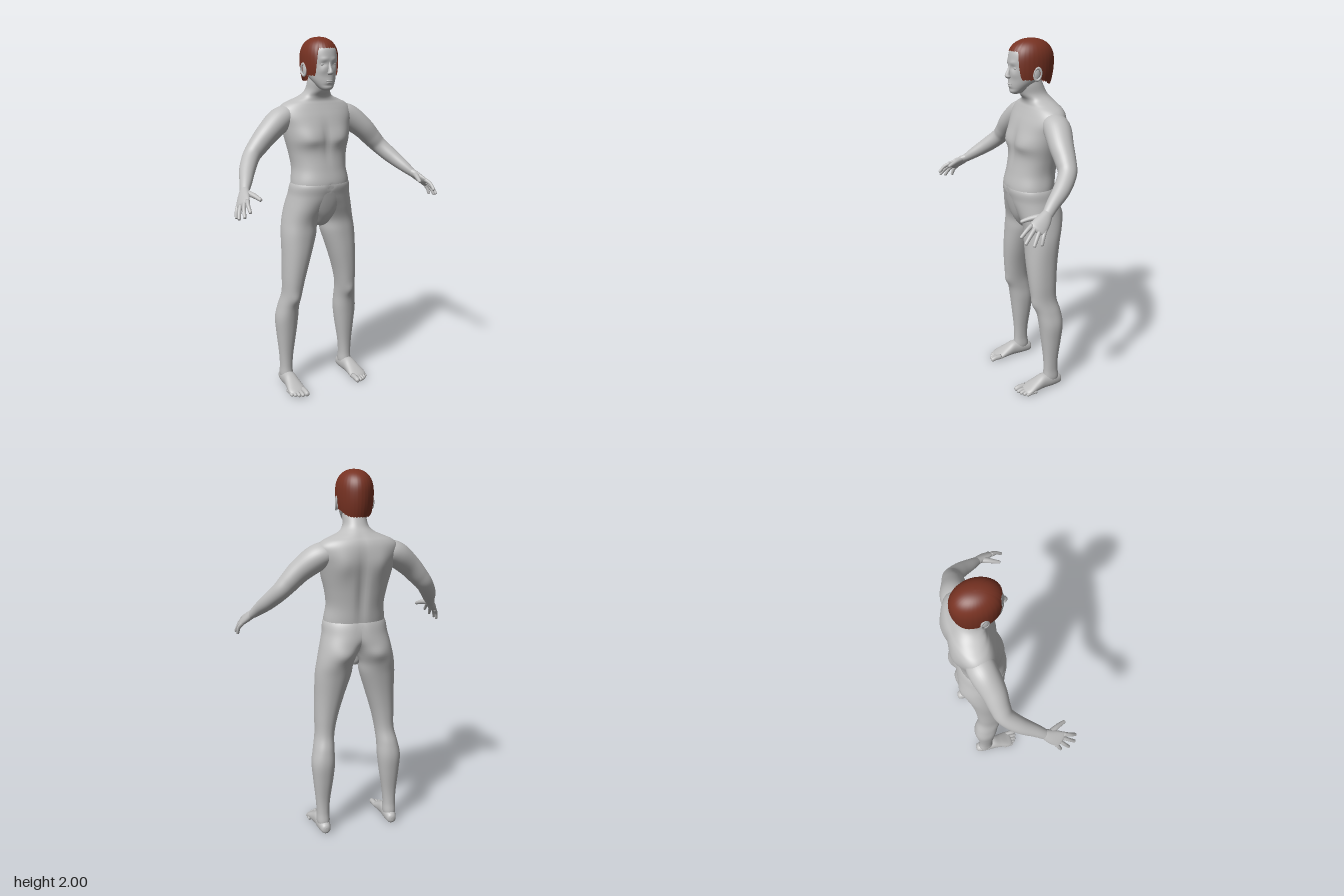
import * as THREE from 'three';

const skin = new THREE.MeshStandardMaterial({ color: 0xbebebe });
skin.name = 'grey skin';
const hairMat = new THREE.MeshStandardMaterial({ color: 0x773222, side: THREE.DoubleSide });
hairMat.name = 'brown hair';

const V = (x, y, z) => new THREE.Vector3(x, y, z);
const UP = V(0, 1, 0), SIDE = V(1, 0, 0), FRONT = V(0, 0, 1);
const gauss = (...d) => Math.exp(-d.reduce((s, k) => s + k * k, 0));

// Smooth interpolation through rows of numbers, t from 0 to 1
function sample(rows, t) {
  const f = t * (rows.length - 1), i = Math.min(Math.floor(f), rows.length - 2), u = f - i;
  const at = k => rows[Math.max(0, Math.min(rows.length - 1, k))];
  const [p, q, r, s] = [at(i - 1), at(i), at(i + 1), at(i + 2)];
  return q.map((_, k) => q[k] + 0.5 * u * (r[k] - p[k]
    + u * (2 * p[k] - 5 * q[k] + 4 * r[k] - s[k] + u * (3 * (q[k] - r[k]) + s[k] - p[k]))));
}

// Skin over rows [x, y, z, halfWidth, halfDepth], listed along the axis;
// without an axis the sections follow the path
function loft(rows, { axis = null, side = SIDE, n = 32, steps = 6, power = 2, sculpt = null } = {}) {
  const m = (rows.length - 1) * steps, pos = [], idx = [];
  const round = c => Math.sign(c) * Math.abs(c) ** (2 / power);
  const centre = t => V(...sample(rows, Math.max(0, Math.min(1, t))));
  for (let i = 0; i <= m; i++) {
    const [x, y, z, a, b] = sample(rows, i / m);
    const t = axis || centre(i / m + 0.02).sub(centre(i / m - 0.02)).normalize();
    const e1 = side.clone().addScaledVector(t, -side.dot(t)).normalize();
    const e2 = t.clone().cross(e1);
    for (let j = 0; j < n; j++) {
      const h = j / n * 2 * Math.PI;
      const v = V(x, y, z).addScaledVector(e1, Math.max(a, 0.001) * round(Math.cos(h)))
        .addScaledVector(e2, Math.max(b, 0.001) * round(Math.sin(h)));
      if (sculpt) sculpt(v);
      pos.push(v.x, v.y, v.z);
      if (i < m) {
        const p = i * n + j, q = i * n + (j + 1) % n;
        idx.push(p, q, q + n, p, q + n, p + n);
      }
    }
  }
  // end caps
  [0, m].forEach(i => {
    const c = pos.length / 3;
    const [x, y, z] = sample(rows, i / m);
    const v = V(x, y, z);
    if (sculpt) sculpt(v);
    pos.push(v.x, v.y, v.z);
    for (let j = 0; j < n; j++) {
      const p = i * n + j, q = i * n + (j + 1) % n;
      if (i) idx.push(c, p, q); else idx.push(c, q, p);
    }
  });
  return indexed(pos, idx);
}

function indexed(pos, idx) {
  const g = new THREE.BufferGeometry();
  g.setAttribute('position', new THREE.Float32BufferAttribute(pos, 3));
  g.setIndex(idx);
  g.computeVertexNormals();
  return g;
}

// Rounded finger or toe along a few points, with a taper
function digit(points, r0, r1) {
  const rows = points.map((p, i) => {
    const r = r0 + (r1 - r0) * i / (points.length - 1);
    return [...p, r, r];
  });
  const tip = V(...points.at(-1)), d = tip.clone().sub(V(...points.at(-2))).normalize();
  [[0.65, 0.76], [1, 0.05]].forEach(([k, s]) => {
    const e = tip.clone().addScaledVector(d, r1 * k);
    rows.push([e.x, e.y, e.z, r1 * s, r1 * s]);
  });
  return loft(rows, { side: V(0.8, 0.6, 0.1), n: 12, steps: 4 });
}

function ball(x, y, z, sx, sy, sz) {
  return new THREE.SphereGeometry(1, 20, 14).scale(sx, sy, sz).translate(x, y, z);
}

function mirrored(g) {
  const c = g.clone().scale(-1, 1, 1), a = c.index.array;
  for (let i = 0; i < a.length; i += 3) [a[i], a[i + 1]] = [a[i + 1], a[i]];
  return c;
}

// Muscle forms of the trunk: chest, navel, shoulder blades, spine, buttocks
function trunkForms(v) {
  const ax = Math.abs(v.x), y = v.y;
  const front = THREE.MathUtils.smoothstep(v.z, -0.1, -0.03);
  const back = THREE.MathUtils.smoothstep(-v.z, 0.12, 0.18);
  const chest = gauss((ax - 0.095) / 0.065, (y - 1.46) / (y < 1.46 ? 0.035 : 0.07));
  v.z += front * (0.016 * chest - 0.008 * gauss(v.x / 0.02, (y - 1.45) / 0.09)
    - 0.006 * gauss(v.x / 0.012, (y - 1.2) / 0.012));
  v.z += back * (0.014 * gauss(v.x / 0.025, (y - 1.4) / 0.2)
    + 0.015 * gauss(v.x / 0.02, (y - 1.04) / 0.06)
    - 0.012 * gauss((ax - 0.1) / 0.05, (y - 1.53) / 0.07)
    - 0.014 * gauss((ax - 0.09) / 0.055, (y - 1.045) / 0.04));
}

// Brow, eye sockets, cheeks and lips
function faceForms(v) {
  if (v.z < -0.02) return;
  const ax = Math.abs(v.x), y = v.y;
  v.z += 0.004 * gauss((ax - 0.028) / 0.02, (y - 1.885) / 0.01)
    - 0.006 * gauss((ax - 0.03) / 0.016, (y - 1.86) / 0.012)
    + 0.004 * gauss((ax - 0.04) / 0.018, (y - 1.825) / 0.018)
    + 0.006 * gauss(v.x / 0.025, (y - 1.77) / 0.02)
    - 0.004 * gauss(v.x / 0.03, (y - 1.75) / 0.006);
}

// Hair cap from the crown down to a hairline that dips at the sides and back
function hairGeometry() {
  const n = 96, m = 28, pos = [], idx = [];
  for (let i = 0; i <= m; i++) for (let j = 0; j < n; j++) {
    const h = j / n * 2 * Math.PI, s = Math.sin(h);
    const face = THREE.MathUtils.smoothstep(s, 0.68, 0.82);
    const low = 1.8 - 0.035 * THREE.MathUtils.smoothstep(-s, 0.1, 0.9);
    const line = low + (1.942 - low) * face + 0.003 * Math.sin(j * 2.3);
    const y = 2 - (2 - line) * (i / m) ** 1.7;
    const k = y > 1.88 ? Math.max(0, 1 - ((y - 1.88) / 0.12) ** 2.5) ** 0.4545
      : 1 - 0.16 * ((1.88 - y) / 0.12) ** 2;
    const strand = 1 + 0.006 * Math.sin(j * 2.1) * (i / m);
    pos.push(0.096 * k * strand * Math.cos(h), y, -0.083 + 0.128 * k * strand * s);
    if (i < m) {
      const p = i * n + j, q = i * n + (j + 1) % n;
      idx.push(p, q, q + n, p, q + n, p + n);
    }
  }
  return indexed(pos, idx);
}

export function createModel() {
  const model = new THREE.Group();
  model.name = 'figure';
  const add = (name, g, mat = skin) => {
    const mesh = new THREE.Mesh(g, mat);
    mesh.name = name;
    model.add(mesh);
  };
  const pair = (name, g) => {
    add('left ' + name, g);
    add('right ' + name, mirrored(g));
  };

  // Trunk and neck: [height, z, half width, half depth]; its lower end fills the groin between the hips
  const trunk = [[0.965, -0.08, 0.02, 0.03], [0.985, -0.07, 0.04, 0.05], [1.03, -0.06, 0.07, 0.07],
    [1.08, -0.065, 0.12, 0.093], [1.15, -0.075, 0.162, 0.118], [1.22, -0.077, 0.167, 0.128],
    [1.3, -0.09, 0.157, 0.124], [1.38, -0.103, 0.168, 0.122], [1.46, -0.11, 0.188, 0.127],
    [1.53, -0.122, 0.204, 0.124], [1.58, -0.13, 0.218, 0.116], [1.62, -0.136, 0.214, 0.104],
    [1.648, -0.137, 0.187, 0.092], [1.668, -0.133, 0.142, 0.081], [1.69, -0.122, 0.092, 0.075],
    [1.72, -0.1, 0.066, 0.073], [1.77, -0.08, 0.06, 0.068], [1.82, -0.075, 0.05, 0.055]];
  add('trunk', loft(trunk.map(([y, z, a, b]) => [0, y, z, a, b]),
    { axis: UP, n: 72, power: 2.2, sculpt: trunkForms }));

  // Head
  const head = [[1.722, 0, 0.012, 0.016], [1.733, -0.005, 0.034, 0.038], [1.77, -0.03, 0.058, 0.065],
    [1.81, -0.062, 0.072, 0.1], [1.86, -0.075, 0.08, 0.115], [1.91, -0.078, 0.083, 0.115],
    [1.945, -0.08, 0.074, 0.105], [1.97, -0.08, 0.05, 0.07], [1.98, -0.08, 0.005, 0.005]];
  add('head', loft(head.map(([y, z, a, b]) => [0, y, z, a, b]),
    { axis: UP, n: 72, steps: 8, power: 2.2, sculpt: faceForms }));
  add('nose', loft([[0, 1.803, 0.04, 0.008, 0.008], [0, 1.812, 0.045, 0.016, 0.016],
    [0, 1.825, 0.045, 0.012, 0.016], [0, 1.85, 0.038, 0.008, 0.01], [0, 1.878, 0.032, 0.006, 0.006]],
  { axis: UP, n: 20 }));
  add('upper lip', ball(0, 1.774, 0.036, 0.02, 0.005, 0.008));
  add('lower lip', ball(0, 1.765, 0.035, 0.017, 0.005, 0.008));
  pair('eyelid', ball(0.031, 1.858, 0.021, 0.016, 0.007, 0.008));
  pair('ear', ball(0.091, 1.828, -0.075, 0.009, 0.032, 0.018));
  pair('ear rim', new THREE.TorusGeometry(0.019, 0.005, 8, 24).scale(1, 1.6, 1)
    .rotateY(Math.PI / 2 - 0.25).rotateX(-0.15).translate(0.096, 1.83, -0.077));
  add('hair', hairGeometry(), hairMat);

  // Arms
  const across = V(-0.36, 0.4, 0.85);
  pair('arm', loft([[0.1, 1.595, -0.14, 0.04, 0.03], [0.16, 1.588, -0.138, 0.068, 0.055],
    [0.22, 1.56, -0.13, 0.073, 0.068], [0.3, 1.498, -0.11, 0.064, 0.061],
    [0.36, 1.437, -0.102, 0.054, 0.054], [0.405, 1.388, -0.088, 0.048, 0.047],
    [0.455, 1.329, -0.03, 0.044, 0.042], [0.495, 1.277, 0.04, 0.034, 0.032],
    [0.52, 1.245, 0.08, 0.028, 0.023], [0.53, 1.233, 0.097, 0.026, 0.016]],
  { side: across, n: 36, steps: 8 }));

  // Hands: palm, four fingers and a thumb
  pair('palm', loft([[0.513, 1.253, 0.068, 0.024, 0.02], [0.524, 1.241, 0.088, 0.029, 0.022],
    [0.543, 1.22, 0.118, 0.039, 0.02], [0.56, 1.2, 0.15, 0.044, 0.016],
    [0.566, 1.192, 0.163, 0.04, 0.012], [0.57, 1.187, 0.17, 0.025, 0.004]], { side: across, n: 28 }));
  const tips = [[0.56, 1.168, 0.24], [0.585, 1.143, 0.228], [0.6, 1.13, 0.192], [0.597, 1.128, 0.15]];
  tips.forEach((tip, i) => {
    const base = V(0.559, 1.2, 0.15).addScaledVector(across, 0.034 - 0.0225 * i);
    const mid = base.clone().lerp(V(...tip), 0.5).add(V(0.005, 0.004, 0.003));
    pair('finger ' + (i + 1), digit([base.toArray(), mid.toArray(), tip], 0.0115, 0.0085));
  });
  pair('thumb', digit([[0.528, 1.238, 0.1], [0.51, 1.233, 0.145], [0.498, 1.225, 0.175], [0.489, 1.215, 0.203]],
    0.017, 0.0095));

  // Legs, each widening at the top into its half of the pelvis
  const leg = [[0.2, 0.02, -0.132, 0.02, 0.03], [0.2, 0.06, -0.132, 0.036, 0.047],
    [0.2, 0.12, -0.13, 0.035, 0.042], [0.199, 0.2, -0.129, 0.041, 0.044],
    [0.196, 0.32, -0.13, 0.056, 0.058], [0.194, 0.42, -0.128, 0.065, 0.069],
    [0.187, 0.5, -0.115, 0.058, 0.071], [0.176, 0.58, -0.092, 0.053, 0.073],
    [0.165, 0.68, -0.086, 0.063, 0.08], [0.146, 0.8, -0.088, 0.08, 0.089],
    [0.126, 0.92, -0.098, 0.098, 0.098], [0.113, 1.0, -0.107, 0.1, 0.107],
    [0.076, 1.08, -0.102, 0.12, 0.123], [0.024, 1.15, -0.09, 0.156, 0.131],
    [0, 1.22, -0.077, 0.166, 0.127], [0, 1.27, -0.085, 0.1, 0.08]];
  pair('leg', loft(leg, { axis: UP, n: 64, power: 2.2, sculpt: v => {
    trunkForms(v);
    if (v.z > -0.1) v.z += 0.01 * gauss((v.x - 0.177) / 0.03, (v.y - 0.55) / 0.035);
  } }));

  // Feet and toes
  pair('foot', loft([[0.198, 0.032, -0.2, 0.008, 0.012], [0.198, 0.034, -0.188, 0.026, 0.028],
    [0.2, 0.042, -0.14, 0.036, 0.04], [0.202, 0.046, -0.08, 0.039, 0.044],
    [0.204, 0.035, -0.03, 0.045, 0.033], [0.206, 0.023, 0.015, 0.051, 0.021],
    [0.205, 0.017, 0.038, 0.046, 0.015], [0.204, 0.014, 0.05, 0.03, 0.008]],
  { axis: FRONT, n: 36, power: 2.2 }));
  [[0.171, 0.078, 0.0155], [0.195, 0.076, 0.0115], [0.215, 0.067, 0.011], [0.233, 0.055, 0.0105],
    [0.248, 0.04, 0.01]].forEach(([x, z, r], i) => {
    pair('toe ' + (i + 1), digit([[x, r + 0.006, z - 0.055], [x, r + 0.005, z - 0.02], [x, r, z]], r, r * 0.95));
  });
  return model;
}
